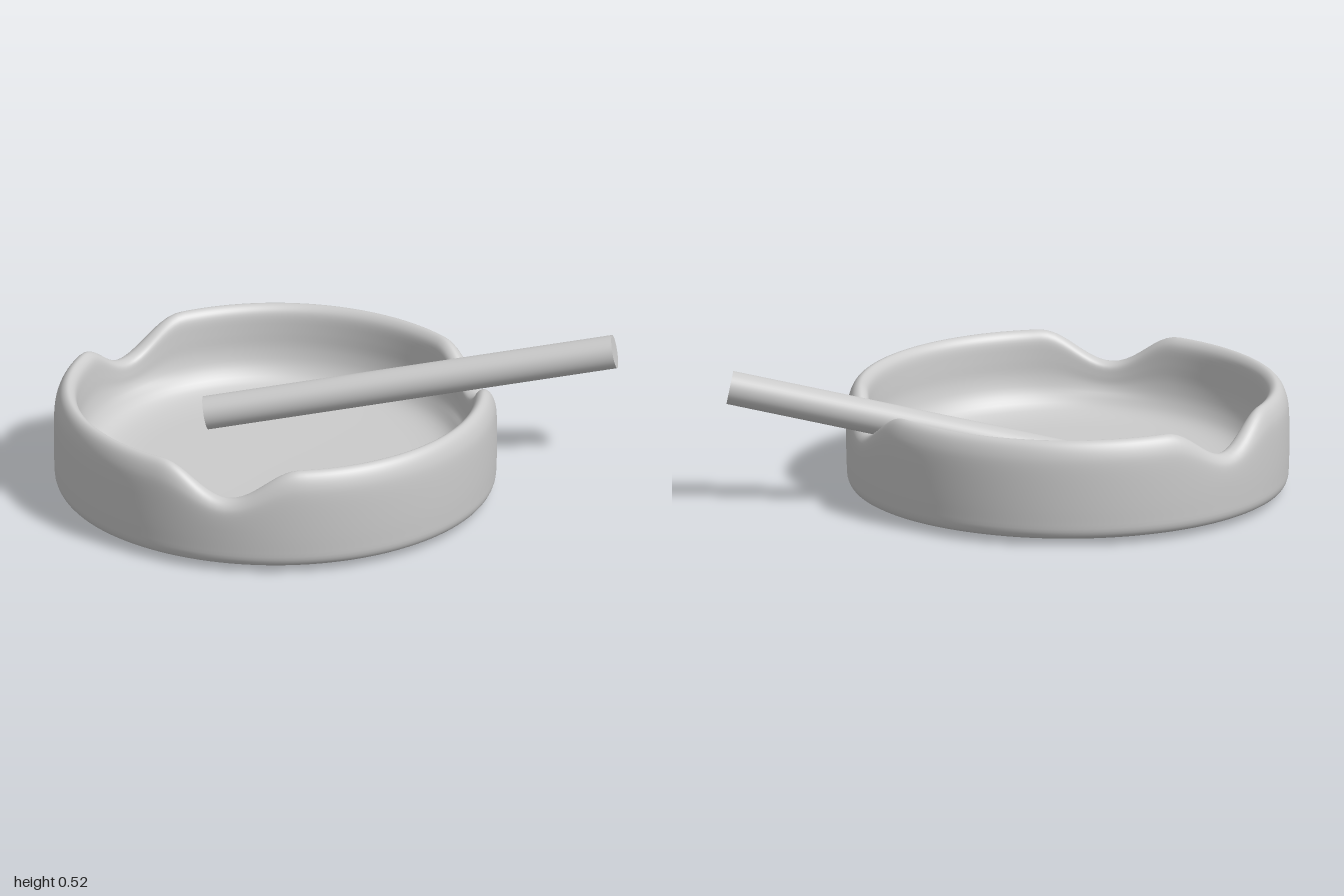
import * as THREE from 'three';
import { mergeVertices } from 'three/addons/utils/BufferGeometryUtils.js';

const material = () => new THREE.MeshStandardMaterial({ color: 0xcccccc });

// Round dish: a lathed wall and floor, with three notches pressed into the rim
function makeDish() {
  const outline = new THREE.SplineCurve([
    // underside and outer wall
    [0, 0], [0.4, 0.004], [0.68, 0.01], [0.79, 0.022], [0.822, 0.045], [0.828, 0.1], [0.83, 0.2], [0.828, 0.3],
    // rounded rim
    [0.82, 0.35], [0.803, 0.386], [0.78, 0.4], [0.758, 0.388], [0.745, 0.36],
    // inner wall, fillet and floor
    [0.74, 0.3], [0.735, 0.23], [0.715, 0.165], [0.67, 0.115], [0.58, 0.093], [0.4, 0.088], [0, 0.086],
  ].map(([r, y]) => new THREE.Vector2(r, y)));
  const points = outline.getPoints(76);
  points[0].x = points[points.length - 1].x = 0;
  points.forEach((p) => { p.x = Math.max(0, p.x); p.y = Math.max(0, p.y); });

  let geometry = new THREE.LatheGeometry(points, 180);
  const pos = geometry.attributes.position;
  const notches = [51.7, 171.7, 291.7].map(THREE.MathUtils.degToRad);
  const halfWidth = THREE.MathUtils.degToRad(20);
  for (let i = 0; i < pos.count; i++) {
    const angle = Math.atan2(pos.getZ(i), pos.getX(i));
    const y = pos.getY(i);
    const reach = THREE.MathUtils.clamp((y - 0.16) / 0.24, 0, 1);
    for (const notch of notches) {
      const d = Math.abs(Math.atan2(Math.sin(angle - notch), Math.cos(angle - notch)));
      if (d < halfWidth) {
        const dip = Math.cos((Math.PI / 2) * d / halfWidth) ** 2;
        pos.setY(i, y - 0.12 * dip * reach);
      }
    }
  }
  // Weld the seam so the shading stays smooth all round
  geometry.deleteAttribute('uv');
  geometry.deleteAttribute('normal');
  geometry = mergeVertices(geometry, 1e-5);
  geometry.computeVertexNormals();

  const dish = new THREE.Mesh(geometry, material());
  dish.name = 'dish';
  dish.position.z = 0.17;
  return dish;
}

// Thin rod resting on the floor and in the back notch
function makeRod() {
  const low = new THREE.Vector3(-0.42, 0.15, 0.17);
  const high = new THREE.Vector3(0.628, 0.455, -0.953);
  const axis = high.clone().sub(low);
  const rod = new THREE.Mesh(new THREE.CylinderGeometry(0.063, 0.063, axis.length(), 40), material());
  rod.name = 'rod';
  rod.position.copy(low).add(high).multiplyScalar(0.5);
  rod.quaternion.setFromUnitVectors(new THREE.Vector3(0, 1, 0), axis.normalize());
  return rod;
}

export function createModel() {
  const model = new THREE.Group();
  model.name = 'ashtray';
  model.add(makeDish(), makeRod());
  return model;
}
